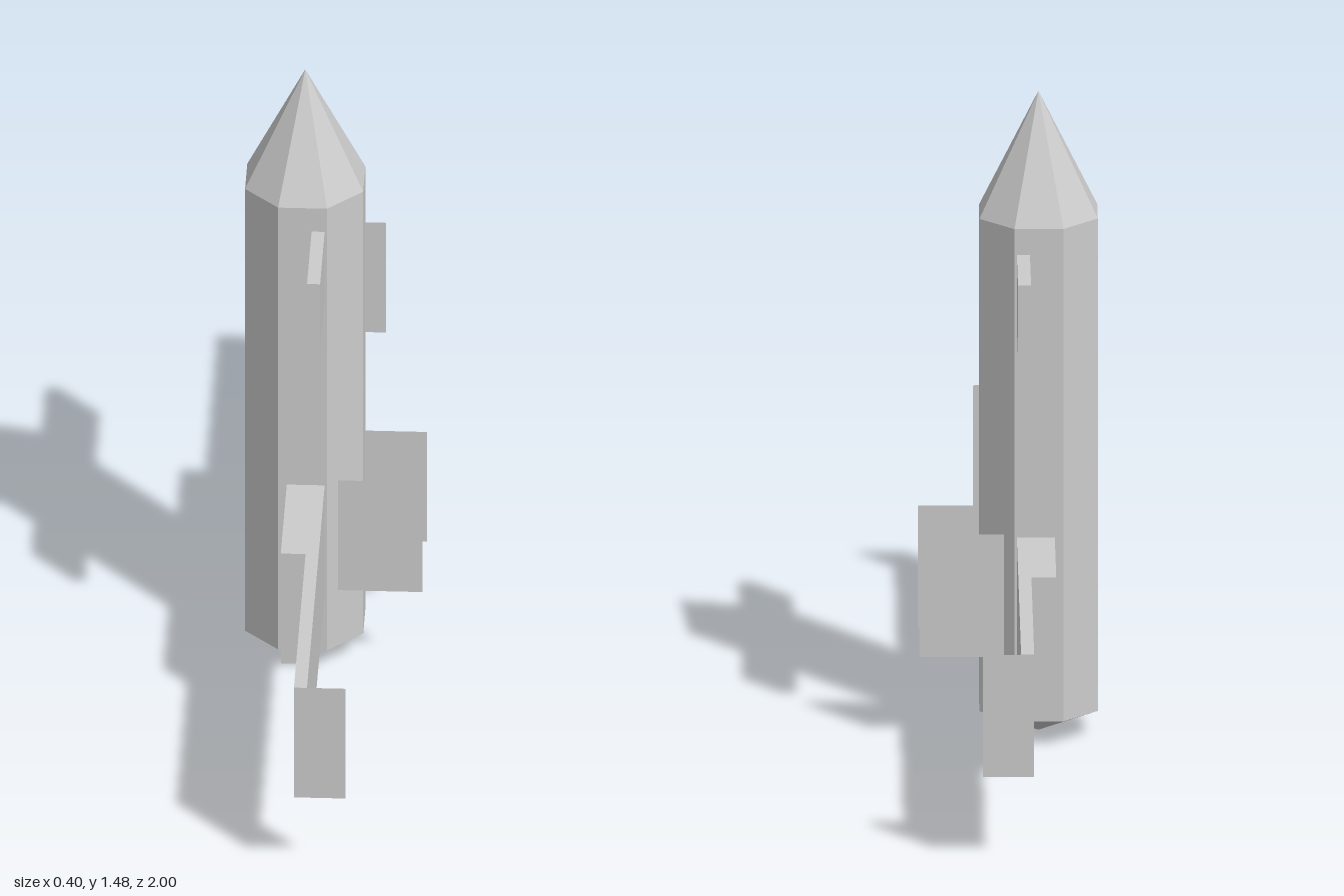
import * as THREE from 'three';

const BODY_X = -0.067;
const FIN_LOW = 0.203, FIN_HIGH = 0.487;

export function createModel() {
  const model = new THREE.Group();
  const solid = new THREE.MeshStandardMaterial({ color: 0xcccccc, flatShading: true });
  const sheet = new THREE.MeshStandardMaterial({ color: 0xcccccc, flatShading: true, side: THREE.DoubleSide });

  const add = (name, geometry, material, x, y, z) => {
    const mesh = new THREE.Mesh(geometry, material);
    mesh.name = name;
    mesh.position.set(x, y, z);
    model.add(mesh);
  };
  // Box given by its lower and upper limits on each axis
  const block = (name, [x0, x1], [y0, y1], [z0, z1]) =>
    add(name, new THREE.BoxGeometry(x1 - x0, y1 - y0, z1 - z0), solid,
      (x0 + x1) / 2, (y0 + y1) / 2, (z0 + z1) / 2);
  // Thin upright sheet facing along z
  const plate = (name, [x0, x1], [y0, y1], z) =>
    add(name, new THREE.PlaneGeometry(x1 - x0, y1 - y0), sheet, (x0 + x1) / 2, (y0 + y1) / 2, z);

  // Eight-sided fuselage with pointed nose and shallow tail cone
  const radius = 0.131 / Math.cos(Math.PI / 8);
  const tail = 0.06, shoulder = 1.203, tip = 1.483;
  const cone = (h) => new THREE.ConeGeometry(radius, h, 8, 1, true).rotateY(Math.PI / 8);
  add('fuselage', new THREE.CylinderGeometry(radius, radius, shoulder - tail, 8, 1, true).rotateY(Math.PI / 8),
    solid, BODY_X, (tail + shoulder) / 2, 0);
  add('noseCone', cone(tip - shoulder), solid, BODY_X, (shoulder + tip) / 2, 0);
  add('tailCone', cone(tail).rotateX(Math.PI), solid, BODY_X, tail / 2, 0);

  // Wings and fins mirrored across the fuselage
  for (const s of [1, -1]) {
    const side = s > 0 ? 'front' : 'rear';
    const span = (z) => (s > 0 ? [0.12, z] : [-z, -0.12]);
    block(side + 'Wing', [-0.047, -0.018], [FIN_LOW, FIN_HIGH], span(1));
    block(side + 'WingRoot', [-0.102, -0.047], [FIN_LOW, FIN_HIGH], span(0.427));
    block(side + 'Canard', [-0.047, -0.018], [0.973, 1.143], span(0.356));
    plate(side + 'Winglet', [-0.047, 0.067], [FIN_LOW, FIN_HIGH], s);
    plate(side + 'TailFin', [0, 0.198], [FIN_LOW, FIN_HIGH], s * 0.108);
  }
  return model;
}
